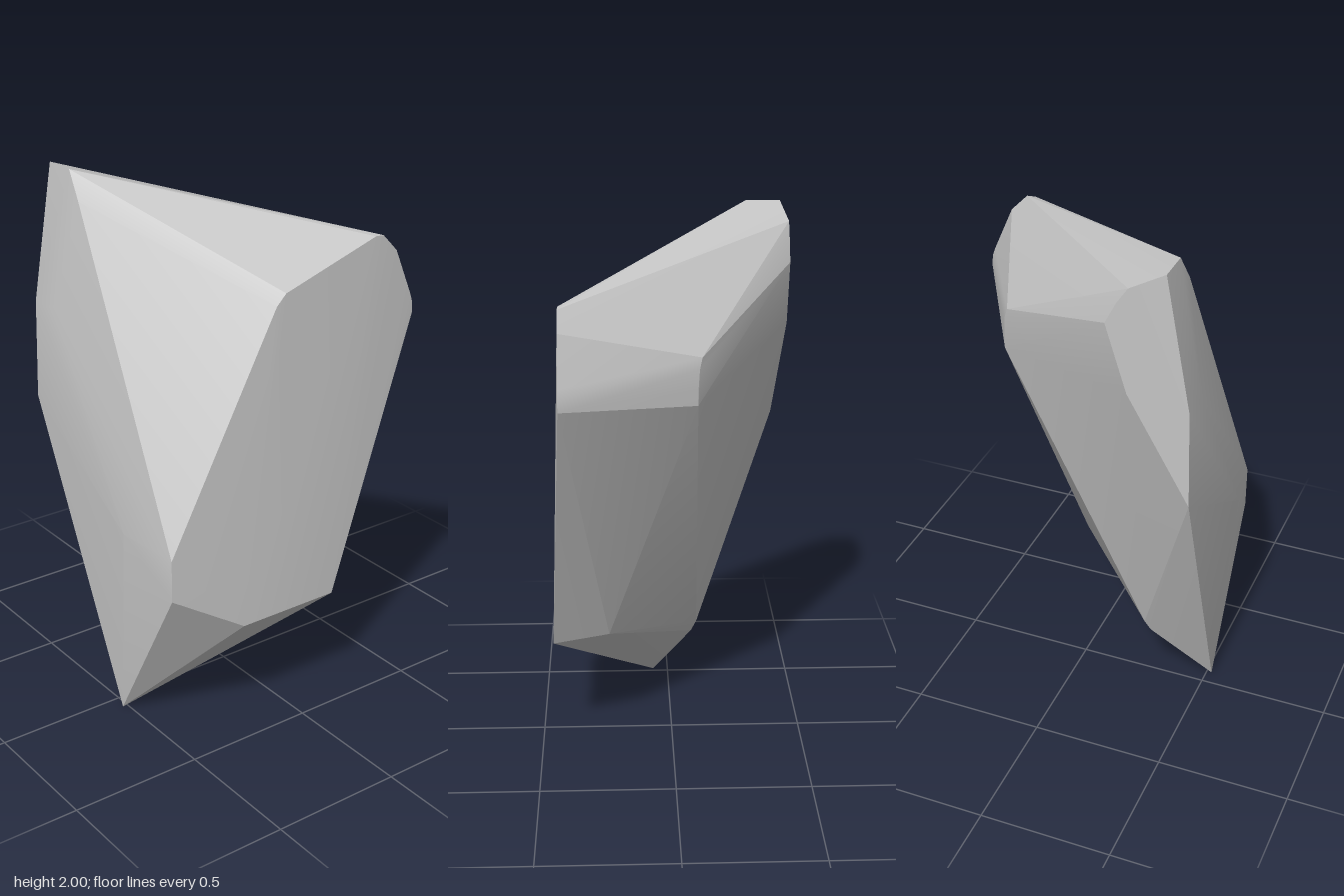
import * as THREE from 'three';
import { ConvexGeometry } from 'three/addons/geometries/ConvexGeometry.js';
import { toCreasedNormals } from 'three/addons/utils/BufferGeometryUtils.js';

export function createModel() {
  const stone = new THREE.MeshStandardMaterial({ color: 0xc4c4c4 });
  stone.name = 'pale stone grey';

  // Corners of the broad front facet, clockwise from lower left
  const front = [
    [-0.52, 0.61, 0.4], [-0.52, 0.77, 0.4], [-0.1, 1.55, 0.4], [-0.07, 1.61, 0.4],
    [-0.03, 1.65, 0.4], [0.33, 1.764, 0.4], [0.37, 1.779, 0.4], [0.405, 1.777, 0.4],
    [0.47, 1.71, 0.4], [0.545, 1.535, 0.4], [0.557, 1.5, 0.4], [0.56, 1.46, 0.4],
    [0.17, 0.44, 0.45], [-0.24, 0.44, 0.45],
  ];
  // Pointed foot and the lower rear edge
  const foot = [[-0.52, 0, 0.06], [0.09, 0.44, 0.24], [-0.31, 0.27, -0.09], [-0.29, 0.32, -0.11]];
  // Short worn edge on the rear right
  const rearRight = [[0.285, 1.4, -0.085], [0.285, 1.46, -0.085], [0.28, 1.53, -0.09], [0.265, 1.57, -0.1]];
  // Upper rear corners and the crest
  const crest = [
    [-0.45, 2, -0.3], [-0.45, 2, -0.43], [-0.33, 1.94, -0.455], [-0.29, 1.88, -0.455],
    [-0.25, 1.8, -0.455], [-0.33, 1.55, -0.455], [-0.46, 1.9, -0.23],
  ];
  // Left flank
  const flank = [[-0.54, 1.5, -0.42], [-0.54, 1.5, -0.3], [-0.55, 1.13, -0.42], [-0.56, 0.79, 0.16]];

  const points = [...front, ...foot, ...rearRight, ...crest, ...flank]
    .map((p) => new THREE.Vector3(...p));
  // Soften only the shallow bends between facets
  const rock = new THREE.Mesh(toCreasedNormals(new ConvexGeometry(points), 0.26), stone);
  rock.name = 'rock';

  const model = new THREE.Group();
  model.name = 'facetedRock';
  model.add(rock);
  return model;
}
